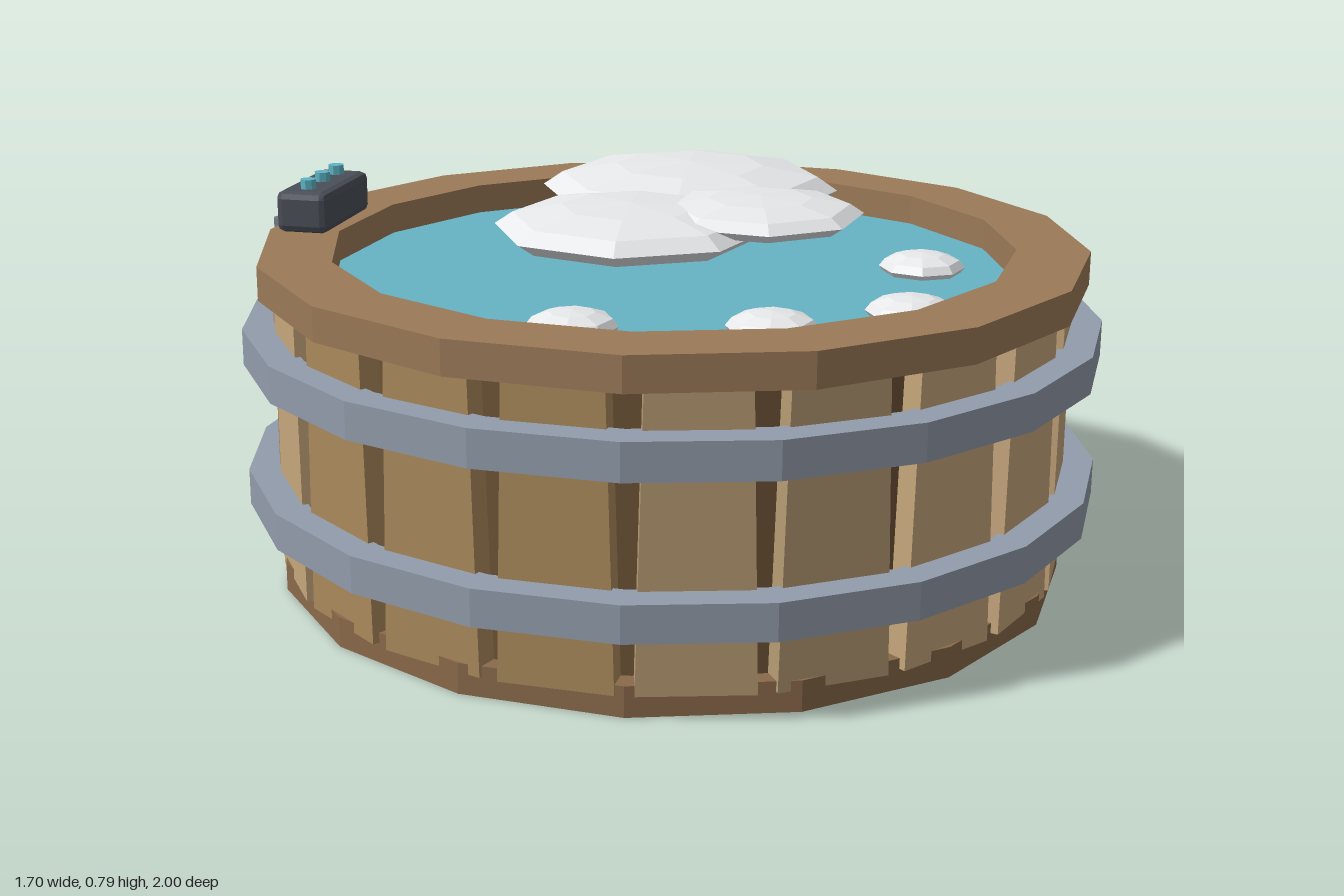
import * as THREE from 'three';
import { RoundedBoxGeometry } from 'three/addons/geometries/RoundedBoxGeometry.js';

const mat = (color) => new THREE.MeshStandardMaterial({ color, flatShading: true });
const MATS = {
  rim: mat(0x9b7a58), base: mat(0x8a6a4a), inner: mat(0x6e5337), step: mat(0xae8c5e),
  staves: [mat(0xc6a67c), mat(0xab8a5c), mat(0xb59a72), mat(0xa48358)],
  metal: mat(0x929cab), pipe: mat(0x747b86), panel: mat(0x4a4e58),
  button: mat(0x5fb4c6), water: mat(0x66b3c5), foam: mat(0xe6e8ea),
};

function add(parent, name, geometry, material, x = 0, y = 0, z = 0) {
  const mesh = new THREE.Mesh(geometry, material);
  mesh.name = name;
  mesh.position.set(x, y, z);
  parent.add(mesh);
  return mesh;
}

// Faceted ring with a rectangular section
function ring(inner, outer, y0, y1, sides, start = 0) {
  const profile = [[outer, y0], [outer, y1], [inner, y1], [inner, y0], [outer, y0]];
  return new THREE.LatheGeometry(profile.map(([r, y]) => new THREE.Vector2(r, y)), sides, start);
}

// Board that narrows towards the top
function staveGeometry(bottomWidth, topWidth, height, depth) {
  const g = new THREE.BoxGeometry(1, height, depth);
  const p = g.attributes.position;
  for (let i = 0; i < p.count; i++) {
    p.setX(i, p.getX(i) * (p.getY(i) > 0 ? topWidth : bottomWidth));
  }
  return g;
}

function createTub() {
  const tub = new THREE.Group();
  tub.name = 'tub';
  add(tub, 'base', new THREE.CylinderGeometry(0.8, 0.8, 0.06, 16), MATS.base, 0, 0.03, 0);
  add(tub, 'innerWall', new THREE.CylinderGeometry(0.765, 0.765, 0.55, 20, 1, true), MATS.inner, 0, 0.325, 0);
  add(tub, 'rim', ring(0.685, 0.83, 0.6, 0.667, 16), MATS.rim);
  add(tub, 'water', new THREE.CylinderGeometry(0.7, 0.7, 0.02, 16), MATS.water, 0, 0.595, 0);

  // Staves around the wall
  const stave = staveGeometry(0.215, 0.185, 0.57, 0.05);
  for (let i = 0; i < 20; i++) {
    const a = (i / 20) * Math.PI * 2;
    const s = add(tub, 'stave', stave, MATS.staves[(i * 3 + (i % 3)) % 4],
      Math.sin(a) * 0.767, 0.325, Math.cos(a) * 0.767);
    s.rotation.y = a;
  }
  // Metal hoops
  for (const y of [0.165, 0.455]) {
    add(tub, 'hoop', ring(0.79, 0.86, y, y + 0.072, 20, Math.PI / 20), MATS.metal);
  }
  return tub;
}

function createFoam() {
  const foam = new THREE.Group();
  foam.name = 'foam';
  // x, y, z, radius, half height, turn
  const blobs = [
    [0.15, 0.736, 0.025, 0.308, 0.056, 0],
    [-0.165, 0.732, 0.225, 0.266, 0.048, 0],
    [0.04, 0.755, 0.37, 0.202, 0.036, 0.14],
    [-0.43, 0.615, 0.39, 0.086, 0.03, 0],
    [0.39, 0.615, 0.47, 0.086, 0.03, 0],
    [-0.15, 0.615, 0.62, 0.086, 0.03, 0],
    [0.125, 0.615, 0.7, 0.086, 0.03, 0],
  ];
  const sphere = new THREE.SphereGeometry(1, 8, 6);
  for (const [x, y, z, r, h, turn] of blobs) {
    const b = add(foam, 'foamBlob', sphere, MATS.foam, x, y, z);
    b.scale.set(r, h, r);
    b.rotation.y = turn;
  }
  return foam;
}

function createSteps() {
  const steps = new THREE.Group();
  steps.name = 'steps';
  // front z, back z, height
  for (const [z0, z1, h] of [[-0.6, -0.8, 0.335], [-0.795, -0.97, 0.155]]) {
    add(steps, 'stepBlock', new RoundedBoxGeometry(0.51, h, z0 - z1, 1, 0.015), MATS.step, 0, h / 2, (z0 + z1) / 2);
    add(steps, 'stepNose', new THREE.BoxGeometry(0.535, 0.048, 0.06), MATS.metal, 0, h, z1 + 0.01 - (h < 0.2 ? 0.01 : 0));
  }
  return steps;
}

// Control panel with its pipe; local +z points inwards, +x along the rim
function createControls() {
  const controls = new THREE.Group();
  controls.name = 'controls';
  add(controls, 'panelBox', new RoundedBoxGeometry(0.255, 0.085, 0.11, 1, 0.015), MATS.panel, 0, 0.71, -0.745);
  for (const x of [-0.078, 0, 0.078]) {
    add(controls, 'button', new THREE.CylinderGeometry(0.017, 0.017, 0.03, 8), MATS.button, x, 0.757, -0.745);
  }
  add(controls, 'pipe', new THREE.CylinderGeometry(0.02, 0.02, 0.66, 8), MATS.pipe, 0, 0.34, -0.838);
  return controls;
}

// Drain tap low on the back
function createDrain() {
  const drain = new THREE.Group();
  drain.name = 'drain';
  const spout = add(drain, 'drainSpout', new THREE.CylinderGeometry(0.02, 0.02, 0.12, 8), MATS.pipe, 0, 0.085, -0.82);
  const cap = add(drain, 'drainCap', new THREE.CylinderGeometry(0.036, 0.036, 0.025, 8), MATS.metal, 0, 0.085, -0.875);
  spout.rotation.x = cap.rotation.x = Math.PI / 2;
  return drain;
}

export function createModel() {
  const model = new THREE.Group();
  model.name = 'hotTub';
  const centre = new THREE.Group();
  centre.name = 'tubAssembly';
  centre.position.z = 0.15;
  const controls = createControls();
  controls.rotation.y = 0.665;
  const drain = createDrain();
  drain.rotation.y = 0.49;
  centre.add(createTub(), controls, drain);
  model.add(centre, createFoam(), createSteps());
  return model;
}
